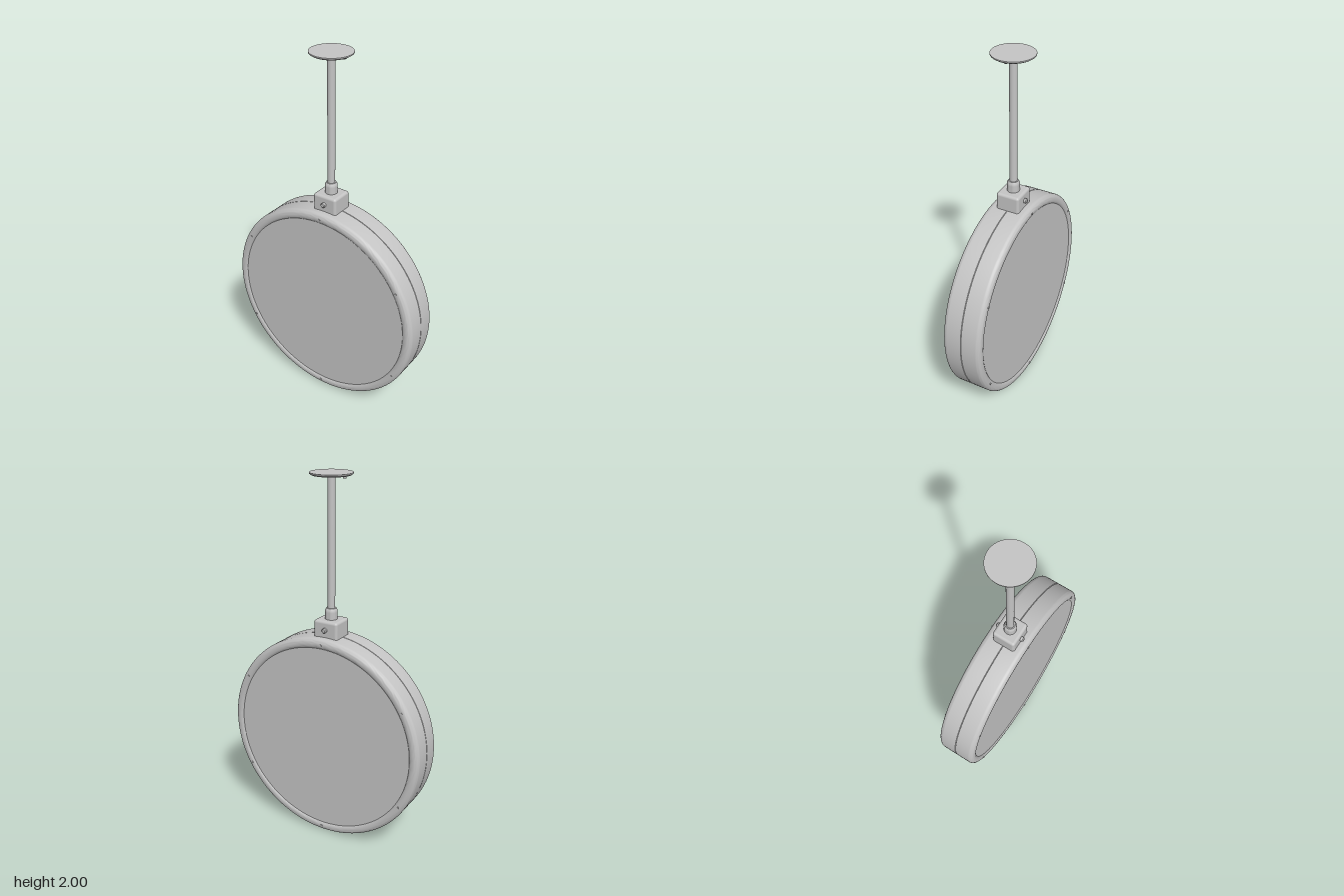
import * as THREE from 'three';
import { toCreasedNormals } from 'three/addons/utils/BufferGeometryUtils.js';
import { RoundedBoxGeometry } from 'three/addons/geometries/RoundedBoxGeometry.js';

export function createModel() {
  const model = new THREE.Group();
  model.name = 'hangingRoundSign';
  const grey = new THREE.MeshStandardMaterial({ color: 0xc4c4c4 });
  grey.name = 'lightGrey';

  const add = (name, geometry, x = 0, y = 0, z = 0, parent = model) => {
    const mesh = new THREE.Mesh(geometry, grey);
    mesh.name = name;
    mesh.position.set(x, y, z);
    parent.add(mesh);
    return mesh;
  };
  const lathe = (points, segments = 48) => toCreasedNormals(
    new THREE.LatheGeometry(points.map(([r, h]) => new THREE.Vector2(r, h)), segments), 0.6);

  // Drum-shaped casing: rounded rims, a fine seam round the middle, open behind each panel
  const R = 0.58, D = 0.11, corner = 0.026, centreY = 0.58;
  const half = [[0.526, 0.1], [0.532, 0.106], [0.54, D]]; // panel edge to rim
  for (let i = 0; i <= 6; i++) {
    const a = (i / 6) * Math.PI / 2;
    half.push([R - corner + corner * Math.sin(a), D - corner + corner * Math.cos(a)]);
  }
  half.push([R, 0.002]);
  const profile = [...half.map(([r, h]) => [r, -h]), [R - 0.004, 0], ...half.slice().reverse()];
  const drum = new THREE.Group();
  drum.name = 'drum';
  drum.position.y = centreY;
  model.add(drum);
  add('casing', lathe(profile, 128).rotateX(Math.PI / 2), 0, 0, 0, drum);

  // Display panel and six rim screws on each side
  for (const side of [1, -1]) {
    const face = new THREE.Group();
    face.name = side > 0 ? 'frontFace' : 'backFace';
    face.rotation.y = side > 0 ? 0 : Math.PI;
    drum.add(face);
    add('panel', new THREE.CylinderGeometry(0.528, 0.528, 0.006, 128).rotateX(Math.PI / 2), 0, 0, 0.1, face);
    for (let i = 0; i < 6; i++) {
      const a = Math.PI / 6 + i * Math.PI / 3;
      add('rimScrew', new THREE.CylinderGeometry(0.005, 0.006, 0.008, 12).rotateX(Math.PI / 2),
        0.55 * Math.cos(a), 0.55 * Math.sin(a), D, face);
    }
  }

  // Mounting block with a bolt at front and back
  add('mountBlock', new RoundedBoxGeometry(0.14, 0.115, 0.13, 4, 0.014), 0, 1.19, 0);
  for (const side of [1, -1]) {
    const bolt = lathe([[0, -0.01], [0.013, -0.01], [0.013, 0.012], [0.009, 0.017], [0, 0.017]], 24);
    bolt.rotateX(side * Math.PI / 2);
    add('blockBolt', bolt, 0, 1.2, side * 0.065);
  }

  // Stepped collar, rod and ceiling plate
  add('collar', lathe([[0, 1.23], [0.033, 1.23], [0.033, 1.285], [0.033, 1.295], [0.026, 1.307], [0, 1.307]]));
  add('rod', new THREE.CylinderGeometry(0.02, 0.02, 0.69, 40), 0, 1.645, 0);
  add('rodFlange', lathe([[0, 1.978], [0.04, 1.978], [0.042, 1.981], [0.042, 1.992], [0, 1.992]]));
  add('ceilingPlate', lathe([[0, 1.987], [0.1, 1.987], [0.109, 1.993], [0.11, 1.996], [0.11, 2], [0, 2]], 72));
  for (const x of [-0.075, 0.075]) {
    add('plateScrew', new THREE.CylinderGeometry(0.01, 0.008, 0.014, 20), x, 1.982, 0);
  }
  return model;
}
